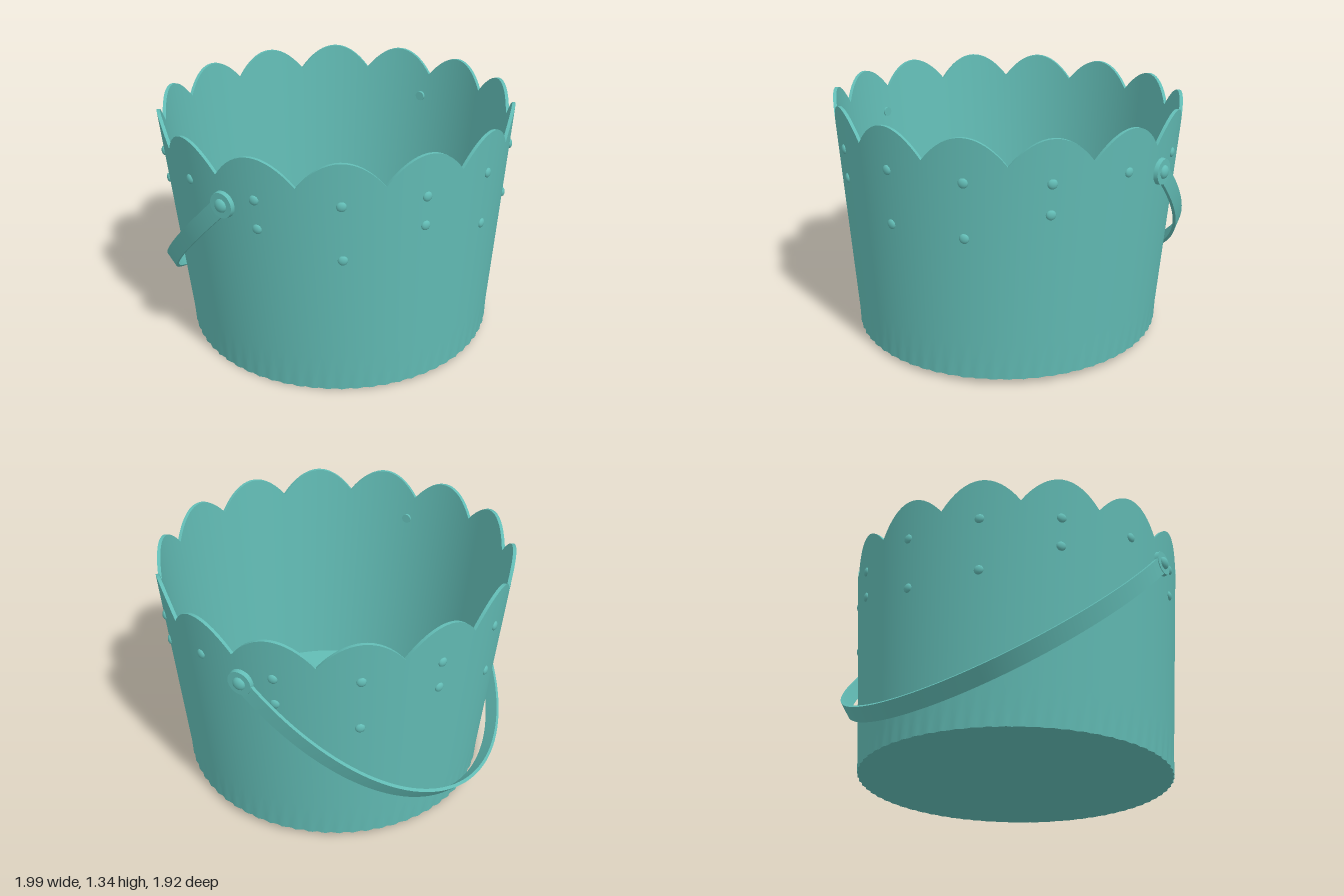
import * as THREE from 'three';
import { toCreasedNormals } from 'three/addons/utils/BufferGeometryUtils.js';

const TAU = Math.PI * 2;
const SCALLOPS = 14;
const STEP = TAU / SCALLOPS;
const START = 0.025; // angle of the first notch, from +z towards +x
const WALL = 0.018;

// Surface from a rule f(u, v); its front is u to the right, v up
function sheet(nu, nv, f, flip = false) {
  const pos = [], index = [];
  for (let j = 0; j <= nv; j++)
    for (let i = 0; i <= nu; i++) pos.push(...f(i / nu, j / nv).toArray());
  for (let j = 0; j < nv; j++)
    for (let i = 0; i < nu; i++) {
      const a = j * (nu + 1) + i, b = a + 1, c = a + nu + 1, d = c + 1;
      if (flip) index.push(a, d, b, a, c, d);
      else index.push(a, b, d, a, d, c);
    }
  const g = new THREE.BufferGeometry();
  g.setAttribute('position', new THREE.Float32BufferAttribute(pos, 3));
  g.setIndex(index);
  return toCreasedNormals(g, 0.6);
}

// Point on the tapering wall: round at the base, slightly oval at the rim
function wallPoint(angle, y, inset = 0) {
  const k = y / 1.34;
  const rx = 0.866 + 0.124 * k - inset, rz = 0.868 + 0.079 * k - inset;
  return new THREE.Vector3(
    0.015 * (1 - k) + rx * Math.sin(angle), y, 0.01 * (1 - k) + rz * Math.cos(angle));
}

// Height of the scalloped edge
function rimHeight(angle) {
  const s = (angle - START) / STEP;
  const u = 2 * (s - Math.floor(s)) - 1;
  return 1.205 + 0.135 * (1 - u * u);
}

// The base tilts slightly to one side
const baseHeight = (angle) => 0.015 + 0.0165 * Math.sin(angle);

export function createModel() {
  const model = new THREE.Group();
  model.name = 'bucket';
  const teal = new THREE.MeshStandardMaterial({ color: 0x62bcb5 });
  teal.name = 'teal';
  const add = (geometry, name, parent = model) => {
    const mesh = new THREE.Mesh(geometry, teal);
    mesh.name = name;
    parent.add(mesh);
    return mesh;
  };

  // Bucket shell
  const N = SCALLOPS * 16;
  const ang = (u) => START + u * TAU;
  const outer = (a, v) => {
    const y0 = baseHeight(a);
    const ripple = v === 0 ? 0.005 * Math.cos(a * 70) : 0; // crimped bottom edge
    return wallPoint(a, y0 + (rimHeight(a) - y0) * v, ripple);
  };
  const inner = (a, v) => {
    const y0 = baseHeight(a) + 0.015;
    return wallPoint(a, y0 + (rimHeight(a) - y0) * v, WALL);
  };
  add(sheet(N, 12, (u, v) => outer(ang(u), v)), 'outerWall');
  add(sheet(N, 12, (u, v) => inner(ang(u), v), true), 'innerWall');
  add(sheet(N, 1, (u, v) => outer(ang(u), 1).lerp(inner(ang(u), 1), v)), 'scallopedRim');
  add(sheet(N, 1, (u, v) =>
    inner(ang(u), 0).lerp(new THREE.Vector3(0.015, 0.03, 0.01), v)), 'floor');
  add(sheet(N, 1, (u, v) =>
    new THREE.Vector3(0.015, 0.015, 0.01).lerp(outer(ang(u), 0), v)), 'underside');

  // Small raised studs below each scallop, in a repeating pattern
  const studs = new THREE.Group();
  studs.name = 'studs';
  model.add(studs);
  const lowRow = [0.825, 0.825, 0.955, 0, 0.955, 0.815, 0.955];
  const studGeometry = new THREE.SphereGeometry(0.026, 12, 8);
  for (let k = 0; k < SCALLOPS; k++) {
    const a = START + (k + 0.5) * STEP;
    for (const y of [1.115, lowRow[k % 7]]) {
      if (!y) continue;
      const stud = add(studGeometry, 'stud', studs);
      stud.position.copy(wallPoint(a, y));
      stud.rotation.y = a;
      stud.scale.z = 0.55;
    }
  }

  // Handle: a flat strap on a half ellipse, lowered towards the back
  const handle = new THREE.Group();
  handle.name = 'handle';
  model.add(handle);
  const pivotY = 1.06, reach = 0.985, back = 0.935, drop = 0.91;
  const axisAngle = 1.857;
  const axis = new THREE.Vector3(Math.sin(axisAngle), 0, Math.cos(axisAngle));
  const rear = new THREE.Vector3(axis.z, 0, -axis.x);
  const down = rear.clone().multiplyScalar(back).setY(-drop);
  const across = rear.clone().multiplyScalar(drop).setY(back).normalize();
  const corners = [[1, -1], [1, 1], [-1, 1], [-1, -1], [1, -1]];
  add(sheet(72, 4, (u, v) => {
    const t = u * Math.PI, c = Math.cos(t), s = Math.sin(t);
    const p = axis.clone().multiplyScalar(reach * c).addScaledVector(down, s);
    const tangent = axis.clone().multiplyScalar(-reach * s).addScaledVector(down, c);
    const out = tangent.cross(across).normalize();
    const [o, w] = corners[Math.round(v * 4)];
    p.addScaledVector(out, o * 0.009).addScaledVector(across, w * 0.045);
    p.y += pivotY;
    return p;
  }), 'strap', handle);

  // Round strap ends with rivets at both pivots
  for (const side of [1, -1]) {
    const pivot = new THREE.Group();
    pivot.name = 'pivot';
    pivot.position.copy(axis).multiplyScalar(side * reach).setY(pivotY);
    pivot.quaternion.setFromUnitVectors(
      new THREE.Vector3(0, 1, 0), axis.clone().multiplyScalar(side));
    handle.add(pivot);
    add(new THREE.CylinderGeometry(0.066, 0.07, 0.022, 28), 'strapEnd', pivot);
    const pin = add(new THREE.CylinderGeometry(0.028, 0.028, 0.06, 16), 'pin', pivot);
    pin.position.y = -0.025;
    const rivet = add(new THREE.SphereGeometry(0.036, 16, 10), 'rivet', pivot);
    rivet.position.y = 0.01;
    rivet.scale.y = 0.6;
  }
  return model;
}
